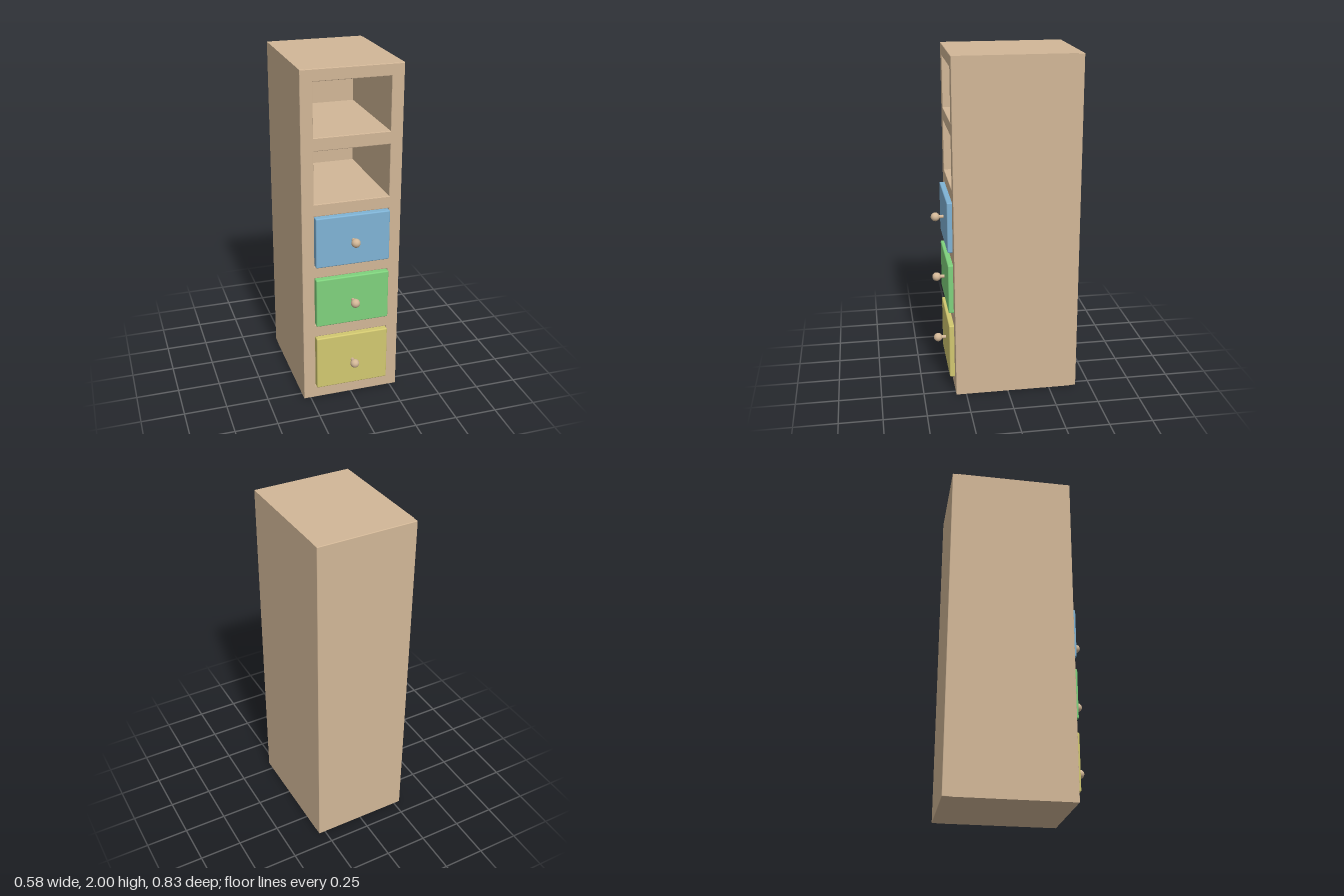
import * as THREE from 'three';
import { RoundedBoxGeometry } from 'three/addons/geometries/RoundedBoxGeometry.js';

const material = (name, color) => {
  const m = new THREE.MeshStandardMaterial({ color });
  m.name = name;
  return m;
};

// Traces a rectangle on a shape or path
const rectangle = (path, x, y0, y1) => {
  path.moveTo(-x, y0);
  path.lineTo(x, y0);
  path.lineTo(x, y1);
  path.lineTo(-x, y1);
  path.closePath();
  return path;
};

export function createModel() {
  const model = new THREE.Group();
  model.name = 'drawerCabinet';
  const wood = material('wood', 0xd2b797);

  const add = (parent, name, geometry, mat, x, y, z) => {
    const mesh = new THREE.Mesh(geometry, mat);
    mesh.name = name;
    mesh.position.set(x, y, z);
    parent.add(mesh);
    return mesh;
  };

  const halfWidth = 0.29, openHalf = 0.219;
  const front = 0.31, back = -0.415, innerBack = -0.345;

  // Five compartments, bottom to top; the lower three hold drawers
  const bays = [
    { y0: 0.078, y1: 0.416, knobY: 0.242, drawer: material('yellow', 0xd2c870) },
    { y0: 0.494, y1: 0.797, knobY: 0.644, drawer: material('green', 0x7fd27d) },
    { y0: 0.87, y1: 1.175, knobY: 1.023, drawer: material('blue', 0x7fb3d5) },
    { y0: 1.248, y1: 1.553 },
    { y0: 1.628, y1: 1.932 },
  ];

  // Frame with open compartments and softened front edges
  const outline = rectangle(new THREE.Shape(), halfWidth, 0, 2);
  for (const { y0, y1 } of bays) {
    outline.holes.push(rectangle(new THREE.Path(), openHalf, y0, y1));
  }
  const bevel = 0.004, frameBack = -0.38;
  const frame = new THREE.ExtrudeGeometry(outline, {
    depth: front - frameBack - 2 * bevel,
    bevelThickness: bevel, bevelSize: bevel, bevelOffset: -bevel, bevelSegments: 2,
  });
  add(model, 'cabinetFrame', frame, wood, 0, 0, frameBack + bevel);

  // Back panel closing the compartments
  add(model, 'backPanel',
    new RoundedBoxGeometry(halfWidth * 2, 2, innerBack - back, 2, 0.004),
    wood, 0, 1, (back + innerBack) / 2);

  // Drawers with their knobs
  const drawerFront = 0.339, drawerBack = -0.33, gap = 0.002;
  for (const { y0, y1, knobY, drawer } of bays) {
    if (!drawer) continue;
    const group = new THREE.Group();
    group.name = drawer.name + 'Drawer';
    model.add(group);
    add(group, 'drawerBody',
      new RoundedBoxGeometry((openHalf - gap) * 2, y1 - y0 - 2 * gap, drawerFront - drawerBack, 3, 0.007),
      drawer, 0, (y0 + y1) / 2, (drawerFront + drawerBack) / 2);
    const stem = new THREE.CylinderGeometry(0.01, 0.01, 0.055, 20).rotateX(Math.PI / 2);
    add(group, 'knobStem', stem, wood, 0, knobY, 0.3575);
    add(group, 'knob', new THREE.SphereGeometry(0.026, 28, 18), wood, 0, knobY, 0.387);
  }

  return model;
}
